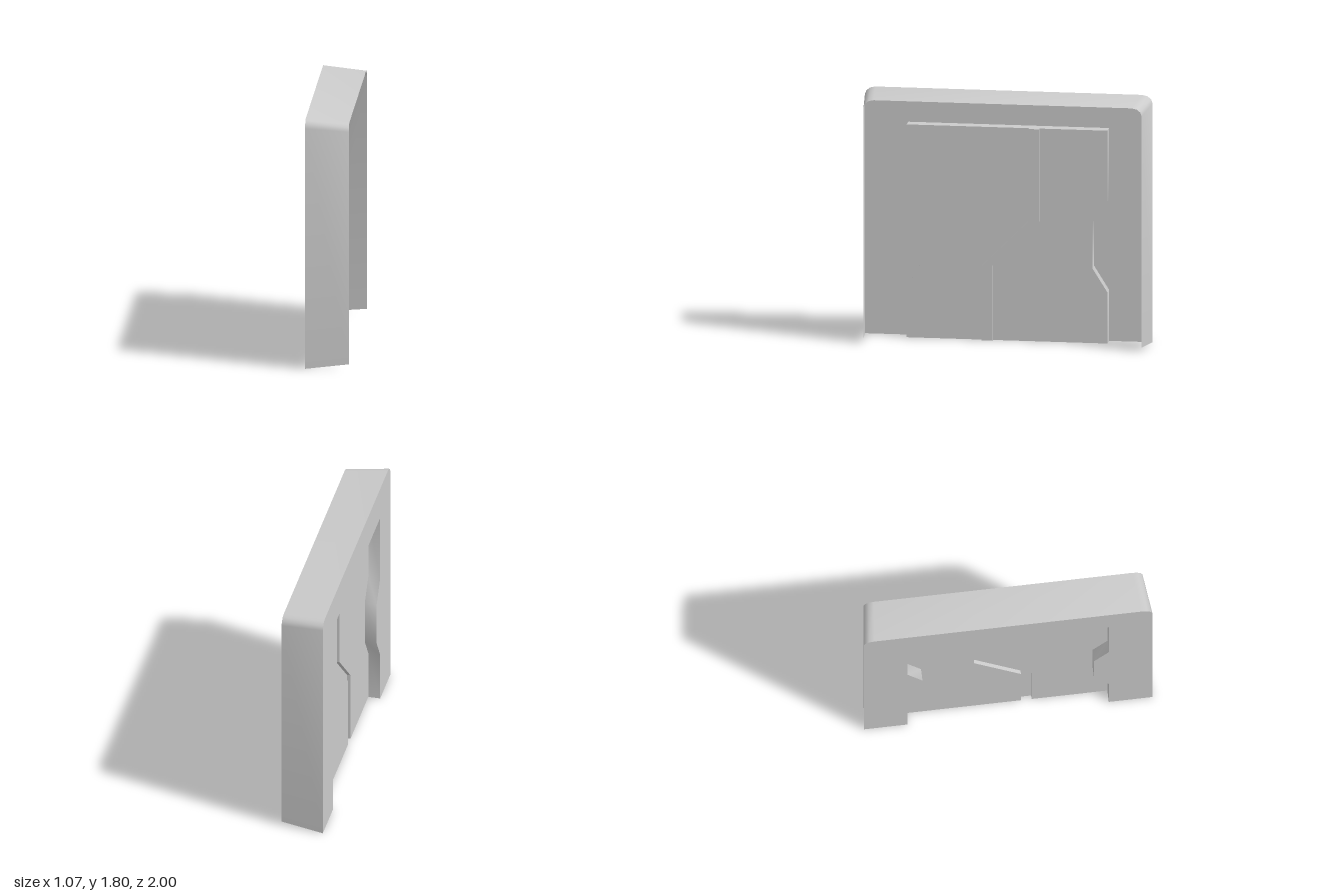
import * as THREE from 'three';
import { toCreasedNormals } from 'three/addons/utils/BufferGeometryUtils.js';

const material = new THREE.MeshStandardMaterial({ color: 0xcccccc, side: THREE.DoubleSide });
const HALF = 1.035, TOP = 1.805, RADIUS = 0.075; // outline of the slab
const DOOR_Z = -0.087, SEAM_Z = -0.114, RIM_Z = -0.31; // depths behind the frame face

// Wall running along a path of [x, y] points from depth z0 to z1, shrunk about mid-height at z1
function wall(path, z0, z1, shrink = 1) {
  const mid = TOP / 2, pos = [], index = [];
  path.forEach(([x, y], i) => {
    pos.push(x, y, z0, x * shrink, mid + (y - mid) * shrink, z1);
    if (i > 0) {
      const a = 2 * (i - 1);
      index.push(a, a + 1, a + 2, a + 2, a + 1, a + 3);
    }
  });
  const geo = new THREE.BufferGeometry();
  geo.setAttribute('position', new THREE.Float32BufferAttribute(pos, 3));
  geo.setIndex(index);
  return toCreasedNormals(geo, 0.65);
}

// Flat panel filling an outline at depth z
function panel(outline, z) {
  const shape = new THREE.Shape(outline.map(([x, y]) => new THREE.Vector2(x, y)));
  return new THREE.ShapeGeometry(shape).translate(0, 0, z);
}

const reversed = (path) => [...path].reverse();
const mirrored = (path) => path.map(([x, y]) => [-x, y]);
const shifted = (path, dx) => path.map(([x, y]) => [x + dx, y]);

export function createModel() {
  const model = new THREE.Group();
  const slab = new THREE.Group();
  slab.name = 'doorSlab';
  model.add(slab);
  const add = (name, geometry) => {
    const mesh = new THREE.Mesh(geometry, material);
    mesh.name = name;
    slab.add(mesh);
  };

  // Outer outline: up the right side, rounded top corners, down the left side
  const rightSide = [[HALF, 0]];
  for (let i = 0; i <= 3; i++) {
    const a = (i / 3) * Math.PI / 2;
    rightSide.push([HALF - RADIUS * (1 - Math.cos(a)), TOP - 0.06 * (1 - Math.sin(a))]);
  }
  const outer = [...rightSide, ...reversed(mirrored(rightSide))];

  // Recess outline, pinched at the waist: up the left, across, down the right
  const jamb = [[-0.722, 0], [-0.722, 0.375], [-0.615, 0.545], [-0.615, 0.88], [-0.722, 1.035], [-0.722, 1.555]];
  const recess = [...jamb, ...reversed(mirrored(jamb))];

  // Stepped seam between the two door leaves
  const seamLeft = [[0.102, 0], [0.102, 0.545], [-0.234, 0.88], [-0.234, 1.555]];
  const seamRight = shifted(seamLeft, 0.076);

  // Frame: face, tapered outer rim (open behind and below) and recess walls
  add('frameFace', panel([...outer, ...recess], 0));
  add('outerRim', wall(outer, 0, RIM_Z, 0.967));
  add('recessWall', wall(recess, 0, DOOR_Z));

  // Door leaves
  add('leafBack', panel([...seamLeft, ...reversed(jamb)], DOOR_Z));
  add('leafFront', panel([...mirrored(jamb), ...reversed(seamRight)], DOOR_Z));

  // Seam groove: two side walls, a top end and a floor
  add('seamWallBack', wall(seamLeft, DOOR_Z, SEAM_Z));
  add('seamWallFront', wall(reversed(seamRight), DOOR_Z, SEAM_Z));
  add('seamTop', wall([seamLeft[3], seamRight[3]], DOOR_Z, SEAM_Z));
  add('seamFloor', panel([...seamRight, ...reversed(seamLeft)], SEAM_Z));

  // Stand the slab obliquely
  slab.rotation.y = -Math.atan2(1.91, 0.8);
  slab.position.set(-0.14, 0, 0.045);
  return model;
}
